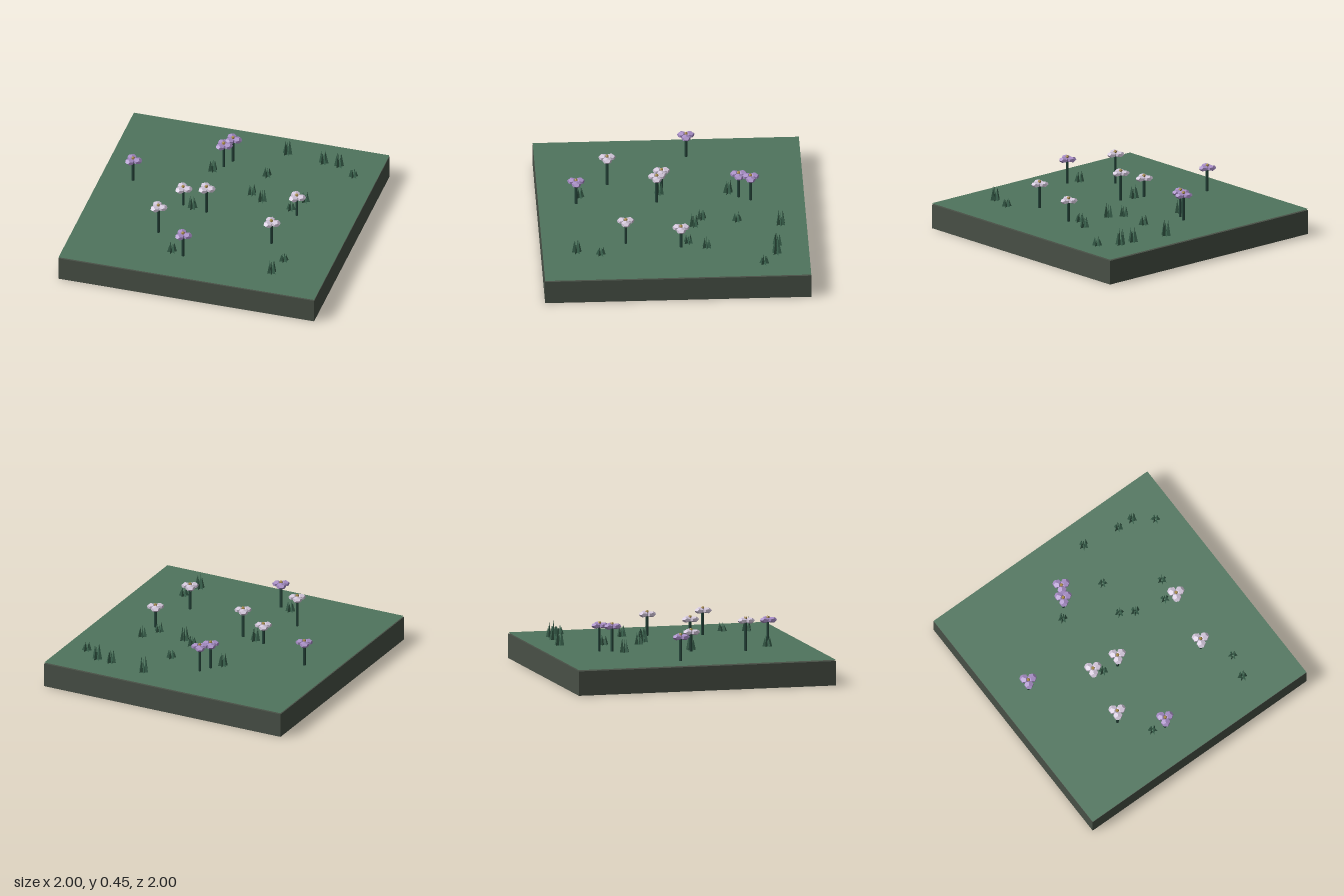
import * as THREE from 'three';

const mat = (name, color, extra = {}) => {
  const m = new THREE.MeshStandardMaterial({ color, flatShading: true, ...extra });
  m.name = name;
  return m;
};

export function createModel() {
  const soilMat = mat('soil', 0x485046);
  const meadowMat = mat('meadow green', 0x4f745d, { side: THREE.DoubleSide });
  const bladeMat = mat('blade green', 0x3a634e);
  const stemMat = mat('stem green', 0x25443a);
  const purpleMat = mat('purple petals', 0xa68cc4);
  const paleMat = mat('pale petals', 0xd2c6da);
  const goldMat = mat('gold centre', 0xa88a48);

  const model = new THREE.Group();
  model.name = 'meadowTile';
  const add = (parent, name, geometry, material, x, y, z) => {
    const mesh = new THREE.Mesh(geometry, material);
    mesh.name = name;
    mesh.position.set(x, y, z);
    parent.add(mesh);
    return mesh;
  };

  // Ground slab with a thin green sheet on top
  const TOP = 0.195;
  add(model, 'soilSlab', new THREE.BoxGeometry(2, 0.185, 2), soilMat, 0, 0.0925, 0);
  add(model, 'meadowSurface', new THREE.PlaneGeometry(2, 2).rotateX(-Math.PI / 2),
    meadowMat, 0, TOP, 0);

  // Flowers: stem, three flattened petals and a small centre
  const petalGeo = new THREE.DodecahedronGeometry(0.037).scale(1, 0.62, 1);
  const centreGeo = new THREE.IcosahedronGeometry(0.014);
  const flower = (x, z, y, petalMat) => {
    const g = new THREE.Group();
    g.name = 'flower';
    g.position.set(x, 0, z);
    const h = y - TOP;
    add(g, 'stem', new THREE.CylinderGeometry(0.011, 0.011, h, 6), stemMat, 0, TOP + h / 2, 0);
    for (let i = 0; i < 3; i++) {
      const a = (i * Math.PI * 2) / 3;
      const petal = add(g, 'petal', petalGeo, petalMat, Math.cos(a) * 0.034, y, Math.sin(a) * 0.034);
      petal.rotation.y = -a;
    }
    add(g, 'flowerCentre', centreGeo, goldMat, 0, y + 0.018, 0);
    model.add(g);
  };
  [[-0.753, -0.14, 0.378], [-0.152, -0.508, 0.388], [-0.105, -0.595, 0.392], [-0.11, 0.715, 0.383]]
    .forEach(([x, z, y]) => flower(x, z, y, purpleMat));
  [[-0.375, 0.47, 0.425], [-0.3, 0.065, 0.342], [-0.105, 0.11, 0.41], [0.48, 0.37, 0.383],
    [0.557, -0.042, 0.36]]
    .forEach(([x, z, y]) => flower(x, z, y, paleMat));

  // Grass tufts: slim three-sided blades pointing outwards around a common centre
  const tuft = (x, z, top, index) => {
    const g = new THREE.Group();
    g.name = 'grassTuft';
    g.position.set(x, TOP, z);
    g.rotation.y = index * 0.13;
    for (let i = 0; i < 6; i++) {
      const h = (top - TOP) * [1, 0.75, 0.9, 0.7, 0.95, 0.8][(i + index) % 6];
      const geo = new THREE.ConeGeometry(0.019, h, 3, 1, true)
        .rotateY(Math.PI / 2).scale(1, 1, 0.4).translate(0.018, h / 2, 0);
      const blade = add(g, 'blade', geo, bladeMat, 0, 0, 0);
      blade.rotation.y = (i * Math.PI) / 3;
    }
    model.add(g);
  };
  [[0.26, -0.805, 0.325], [0.555, -0.765, 0.31], [0.677, -0.757, 0.325], [0.82, -0.655, 0.265],
    [0.195, -0.48, 0.27], [-0.215, -0.43, 0.305], [0.155, -0.215, 0.285], [0.255, -0.152, 0.31],
    [0.568, -0.235, 0.285], [0.495, -0.1, 0.265], [-0.22, 0.087, 0.305], [-0.205, 0.685, 0.28],
    [0.635, 0.565, 0.262], [0.592, 0.743, 0.31]]
    .forEach(([x, z, top], i) => tuft(x, z, top, i));

  return model;
}
